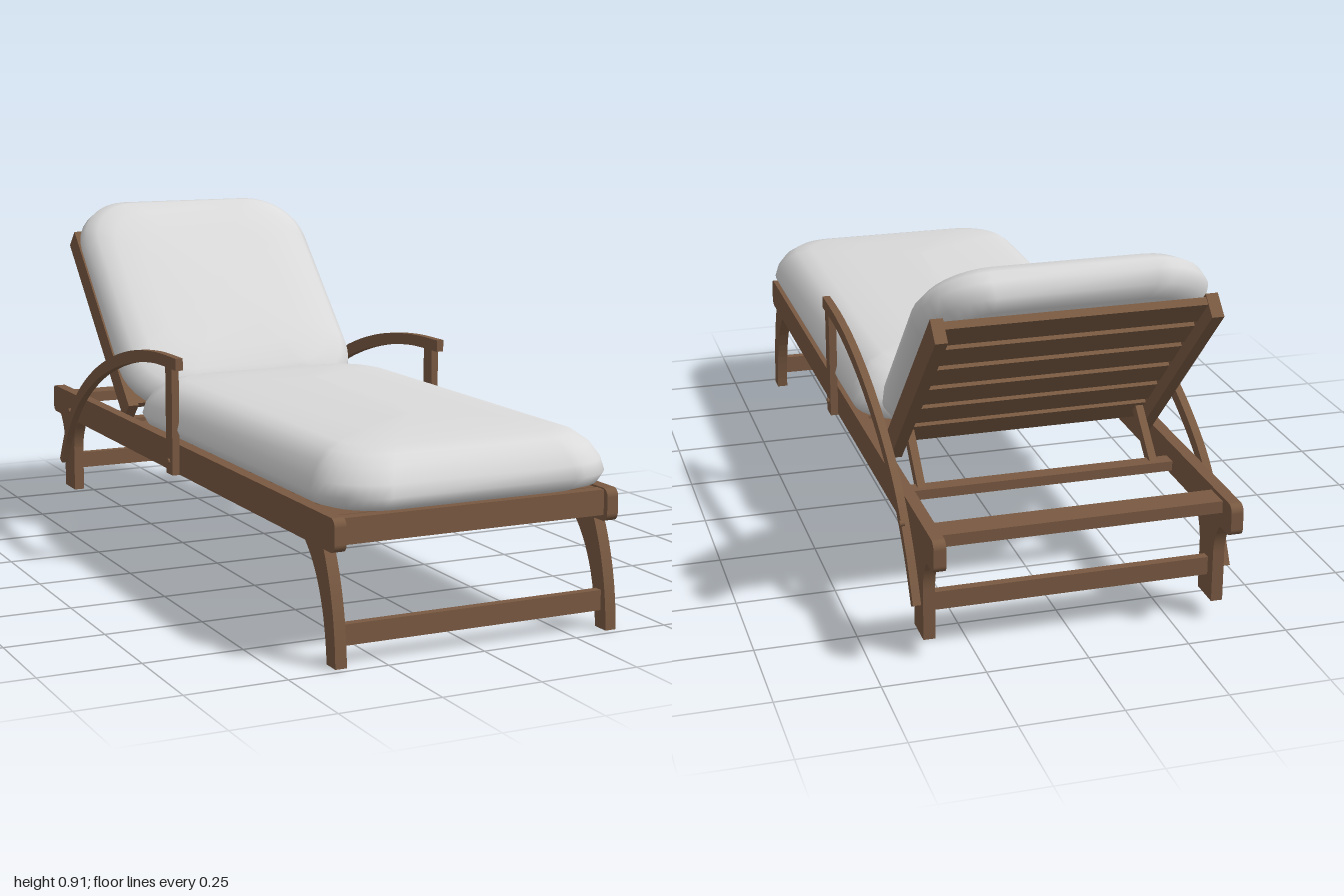
import * as THREE from 'three';
import { RoundedBoxGeometry } from 'three/addons/geometries/RoundedBoxGeometry.js';

const wood = new THREE.MeshStandardMaterial({ color: 0x7a5a42 });
wood.name = 'brown wood';
const fabric = new THREE.MeshStandardMaterial({ color: 0xdadada });
fabric.name = 'light grey fabric';

function add(parent, name, geometry, material, x = 0, y = 0, z = 0) {
  const mesh = new THREE.Mesh(geometry, material);
  mesh.name = name;
  mesh.position.set(x, y, z);
  parent.add(mesh);
  return mesh;
}

function bar(parent, name, w, h, d, x, y, z) {
  return add(parent, name, new THREE.BoxGeometry(w, h, d), wood, x, y, z);
}

// Plank cut from a (z, y) outline, with its thickness across x
function plank(parent, name, shape, x, thickness) {
  const g = new THREE.ExtrudeGeometry(shape, { depth: thickness, bevelEnabled: false, curveSegments: 14 });
  g.rotateY(-Math.PI / 2).translate(thickness / 2, 0, 0);
  return add(parent, name, g, wood, x);
}

function roundedRect(z0, z1, y0, y1, r) {
  const s = new THREE.Shape();
  s.absarc(z1 - r, y0 + r, r, -Math.PI / 2, 0);
  s.absarc(z1 - r, y1 - r, r, 0, Math.PI / 2);
  s.absarc(z0 + r, y1 - r, r, Math.PI / 2, Math.PI);
  s.absarc(z0 + r, y0 + r, r, Math.PI, Math.PI * 1.5);
  s.closePath();
  return s;
}

// Pillow: rounded-rectangle loops stacked through a profile of [inset, height]
function cushionGeometry(hx, hz, r, profile) {
  const pos = [], index = [], steps = 8, n = 4 * (steps + 1);
  for (const [inset, h] of profile) {
    const a = hx - inset, b = hz - inset, rr = r * a / hx;
    for (let c = 0; c < 4; c++) {
      const sx = c === 0 || c === 3 ? 1 : -1, sz = c < 2 ? 1 : -1;
      for (let i = 0; i <= steps; i++) {
        const t = (c + i / steps) * Math.PI / 2;
        // sides bow out very slightly
        pos.push(sx * (a - rr) + rr * Math.cos(t), h, sz * (b - rr) + rr * Math.sin(t));
      }
    }
  }
  for (let j = 0; j < profile.length - 1; j++) {
    for (let i = 0; i < n; i++) {
      const k = (i + 1) % n, p = j * n + i, q = j * n + k;
      index.push(p, p + n, q, q, p + n, q + n);
    }
  }
  // close the underside and the crown
  const last = (profile.length - 1) * n, bottom = pos.length / 3;
  pos.push(0, profile[0][1], 0, 0, profile[profile.length - 1][1], 0);
  for (let i = 0; i < n; i++) {
    const k = (i + 1) % n;
    index.push(bottom, i, k, bottom + 1, last + k, last + i);
  }
  const g = new THREE.BufferGeometry();
  g.setAttribute('position', new THREE.Float32BufferAttribute(pos, 3));
  g.setIndex(index);
  g.computeVertexNormals();
  return g;
}

function frontLegShape() {
  const s = new THREE.Shape();
  s.moveTo(0.98, 0);
  s.quadraticCurveTo(0.96, 0.2, 0.81, 0.27);
  s.lineTo(0.81, 0.27);
  return s;
}

export function createModel() {
  const model = new THREE.Group();
  model.name = 'sunLounger';

  // Curved front leg
  const frontLeg = new THREE.Shape();
  frontLeg.moveTo(0.935, 0);
  frontLeg.lineTo(0.98, 0);
  frontLeg.quadraticCurveTo(0.955, 0.16, 0.81, 0.275);
  frontLeg.lineTo(0.93, 0.275);
  frontLeg.curves.length = 0;
  frontLeg.moveTo(0.98, 0);
  frontLeg.quadraticCurveTo(0.975, 0.16, 0.91, 0.28);
  frontLeg.lineTo(0.8, 0.28);
  frontLeg.quadraticCurveTo(0.92, 0.2, 0.935, 0);
  frontLeg.closePath();

  // Rear leg, flaring where it meets the rail
  const rearLeg = new THREE.Shape();
  rearLeg.moveTo(-0.9, 0.05);
  rearLeg.lineTo(-0.815, 0.05);
  rearLeg.lineTo(-0.815, 0.18);
  rearLeg.quadraticCurveTo(-0.81, 0.23, -0.77, 0.27);
  rearLeg.lineTo(-0.94, 0.27);
  rearLeg.quadraticCurveTo(-0.9, 0.23, -0.9, 0.18);
  rearLeg.closePath();

  // Sweeping armrest: upper curve out, lower curve back
  const v = (z, y) => new THREE.Vector2(z, y);
  const arm = new THREE.Shape();
  arm.moveTo(0.08, 0.58);
  arm.splineThru([v(-0.08, 0.577), v(-0.25, 0.556), v(-0.42, 0.512), v(-0.58, 0.447), v(-0.72, 0.36), v(-0.82, 0.25), v(-0.888, 0.135)]);
  arm.lineTo(-0.87, 0.125);
  arm.splineThru([v(-0.8, 0.235), v(-0.7, 0.335), v(-0.56, 0.42), v(-0.41, 0.48), v(-0.25, 0.522), v(-0.08, 0.546), v(0.08, 0.548)]);
  arm.closePath();

  for (const [side, s] of [['left', 1], ['right', -1]]) {
    plank(model, side + 'Rail', roundedRect(-1, 0.975, 0.265, 0.345, 0.02), s * 0.36, 0.03);
    plank(model, side + 'FrontLeg', frontLeg, s * 0.36, 0.029);
    plank(model, side + 'RearLeg', rearLeg, s * 0.36, 0.029);
    plank(model, side + 'Armrest', arm, s * 0.386, 0.02);
    bar(model, side + 'ArmPost', 0.02, 0.29, 0.045, s * 0.386, 0.41, 0.028);
    // bolt heads on post and armrest
    for (const z of [0.028, -0.785]) {
      const bolt = add(model, side + 'Bolt', new THREE.CylinderGeometry(0.007, 0.007, 0.012, 10), wood, s * 0.395, 0.3, z);
      bolt.rotation.z = Math.PI / 2;
    }
    // prop holding the backrest up
    const prop = bar(model, side + 'BackProp', 0.02, 0.17, 0.03, s * 0.3, 0.345, -0.54);
    prop.rotation.x = 0.8;
  }

  // Cross members
  bar(model, 'frontCrossbar', 0.69, 0.062, 0.03, 0, 0.311, 0.945);
  bar(model, 'rearCrossbar', 0.69, 0.03, 0.07, 0, 0.32, -0.91);
  bar(model, 'frontLegStretcher', 0.69, 0.05, 0.022, 0, 0.07, 0.946);
  bar(model, 'rearLegStretcher', 0.69, 0.046, 0.022, 0, 0.132, -0.86);
  bar(model, 'propCrossbar', 0.69, 0.025, 0.04, 0, 0.29, -0.6);

  // Seat slats
  const slats = 10, pitch = 1.27 / slats;
  for (let i = 0; i < slats; i++) {
    bar(model, 'seatSlat', 0.69, 0.022, pitch - 0.014, 0, 0.329, -0.345 + pitch * (i + 0.5));
  }

  // Reclined backrest, built along its own slope
  const back = new THREE.Group();
  back.name = 'backrest';
  back.position.set(0, 0.36, -0.405);
  back.rotation.x = -0.775;
  model.add(back);
  for (const s of [1, -1]) bar(back, 'backrestRail', 0.03, 0.64, 0.063, s * 0.329, 0.335, -0.032);
  for (let i = 0; i < 6; i++) bar(back, 'backrestSlat', 0.63, 0.085, 0.02, 0, 0.07 + i * 0.108, -0.018);

  // Cushions
  const seatProfile = [[0.12, 0], [0.045, 0.002], [0.012, 0.015], [0, 0.04], [0.008, 0.07], [0.03, 0.105], [0.06, 0.128], [0.1, 0.139], [0.2, 0.148], [0.36, 0.155]];
  add(model, 'seatCushion', cushionGeometry(0.382, 0.66, 0.14, seatProfile), fabric, 0, 0.345, 0.34);
  const backProfile = [[0.12, 0], [0.05, 0.003], [0.015, 0.02], [0, 0.055], [0.008, 0.085], [0.035, 0.112], [0.08, 0.126], [0.16, 0.133], [0.32, 0.136]];
  const backCushion = cushionGeometry(0.36, 0.37, 0.16, backProfile).rotateX(Math.PI / 2);
  add(back, 'backCushion', backCushion, fabric, -0.003, 0.33, 0);

  return model;
}
